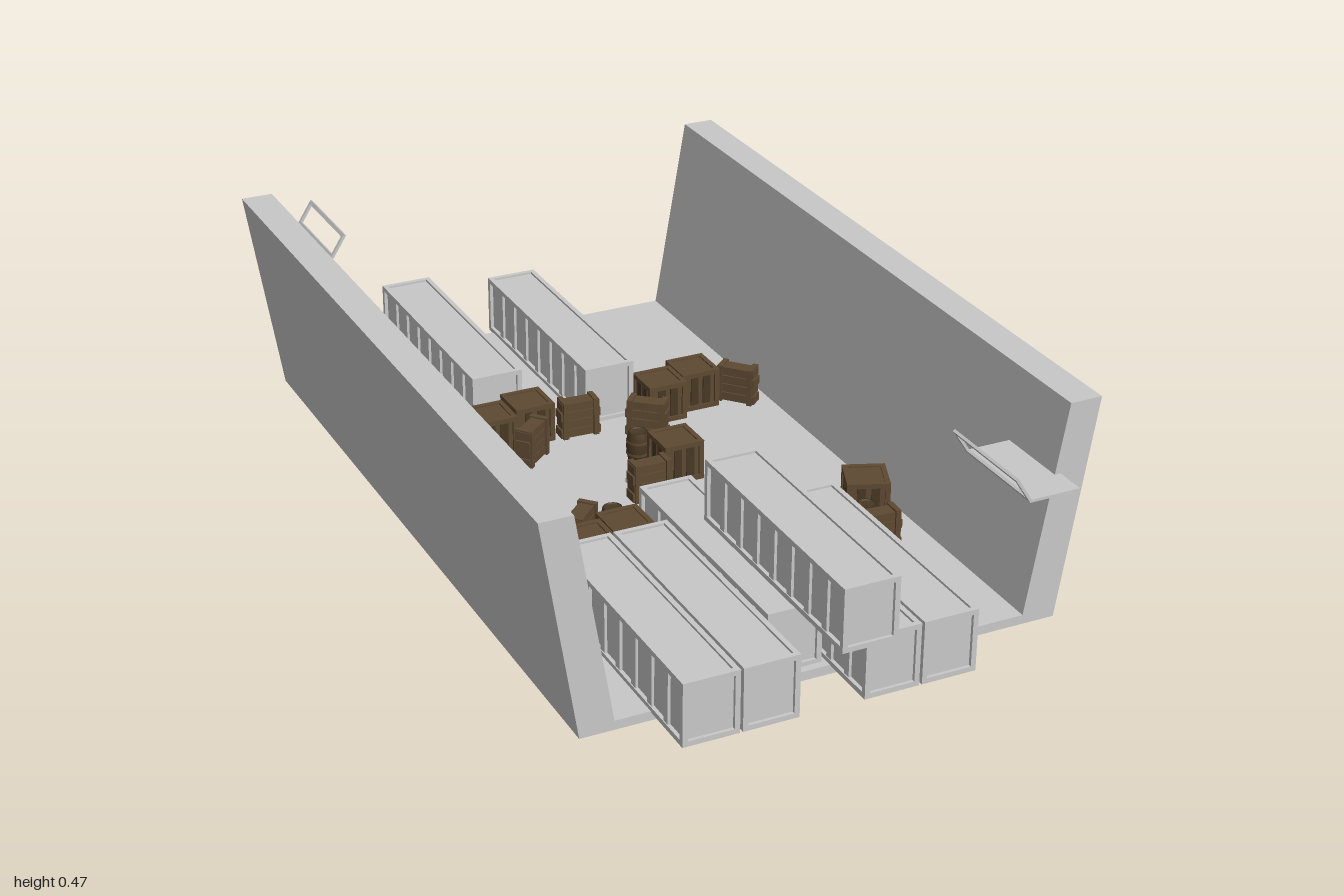
import * as THREE from 'three';

const grey = new THREE.MeshStandardMaterial({ color: 0xc8c8c8 });
grey.name = 'plain grey';
const wood = new THREE.MeshStandardMaterial({ color: 0x5e4932 });
wood.name = 'brown wood';
const darkWood = new THREE.MeshStandardMaterial({ color: 0x483823 });
darkWood.name = 'dark brown wood';

const FLOOR = 0.02;

function box(parent, name, mat, size, pos) {
  const m = new THREE.Mesh(new THREE.BoxGeometry(...size), mat);
  m.position.set(...pos);
  m.name = name;
  parent.add(m);
  return m;
}

// Twelve bars along the edges of a box that stands on y = 0
function edgeFrame(g, mat, w, h, d, t) {
  for (const a of [-1, 1]) {
    for (const b of [-1, 1]) {
      const x = a * (w - t) / 2, z = b * (d - t) / 2;
      const y = h / 2 + a * (h - t) / 2;
      box(g, 'cornerPost', mat, [t, h, t], [x, h / 2, z]);
      box(g, 'crossRail', mat, [w - 2 * t, t, t], [0, y, z]);
      box(g, 'longRail', mat, [t, t, d - 2 * t], [b * (w - t) / 2, y, 0]);
    }
  }
}

// Cargo container: recessed core, edge frame and side ribs
function container(x, y, z) {
  const g = new THREE.Group();
  g.name = 'container';
  const w = 0.118, h = 0.136, d = 0.565, t = 0.011, bays = 8;
  box(g, 'containerCore', grey, [w - 0.016, h - 0.01, d - 0.014], [0, h / 2, 0]);
  edgeFrame(g, grey, w, h, d, t);
  for (let i = 1; i < bays; i++) {
    const rz = -d / 2 + t / 2 + (i * (d - t)) / bays;
    for (const s of [-1, 1]) {
      box(g, 'sideRib', grey, [0.009, h - 2 * t, 0.018], [s * (w / 2 - 0.0065), h / 2, rz]);
    }
  }
  g.position.set(x, y, z);
  return g;
}

// Wooden crate with framed edges and plank strips
function crate(x, z, turn = 0) {
  const g = new THREE.Group();
  g.name = 'crate';
  const s = 0.092;
  box(g, 'crateCore', wood, [s - 0.01, s - 0.006, s - 0.01], [0, s / 2, 0]);
  edgeFrame(g, wood, s, s, s, 0.011);
  for (const k of [-1, 1]) {
    for (const o of [-0.015, 0.015]) {
      box(g, 'plank', darkWood, [0.018, s - 0.024, 0.004], [o, s / 2, k * (s / 2 - 0.004)]);
      box(g, 'plank', darkWood, [0.004, s - 0.024, 0.018], [k * (s / 2 - 0.004), s / 2, o]);
    }
  }
  g.position.set(x, FLOOR, z);
  g.rotation.y = turn;
  return g;
}

// Narrow barricade: plank core, end posts and rails
function barricade(x, z, turn) {
  const g = new THREE.Group();
  g.name = 'barricade';
  for (let i = 0; i < 4; i++) {
    box(g, 'barricadePlank', wood, [0.094 - (i % 2) * 0.006, 0.019, 0.034], [0, 0.012 + i * 0.021, 0]);
  }
  box(g, 'barricadeCore', darkWood, [0.084, 0.08, 0.026], [0, 0.042, 0]);
  for (const s of [-1, 1]) {
    box(g, 'barricadePost', wood, [0.012, 0.088, 0.042], [s * 0.036, 0.044, 0]);
  }
  g.position.set(x, FLOOR, z);
  g.rotation.y = turn;
  return g;
}

// Barrel with a bulging side, rims and a recessed lid
const barrelGeometry = new THREE.LatheGeometry(
  [[0, 0], [0.021, 0], [0.025, 0.02], [0.026, 0.036], [0.025, 0.052], [0.021, 0.072], [0.018, 0.072], [0.018, 0.068], [0, 0.068]]
    .map(([r, y]) => new THREE.Vector2(r, y)), 12);
const hoopGeometry = new THREE.CylinderGeometry(0.0265, 0.0265, 0.005, 12);
function barrel(x, z) {
  const g = new THREE.Group();
  g.name = 'barrel';
  const body = new THREE.Mesh(barrelGeometry, darkWood);
  body.name = 'barrelBody';
  g.add(body);
  for (const y of [0.022, 0.05]) {
    const hoop = new THREE.Mesh(hoopGeometry, wood);
    hoop.name = 'barrelHoop';
    hoop.position.y = y;
    g.add(hoop);
  }
  g.position.set(x, FLOOR, z);
  return g;
}

// Wall balcony: flat ledge with an open, outward leaning rail frame
function balcony(side, z, shift) {
  const g = new THREE.Group();
  g.name = 'balcony';
  const len = 0.23, run = 0.034, rise = 0.053;
  box(g, 'balconyFloor', grey, [0.112, 0.006, len], [0.056, 0, 0]);
  const rail = new THREE.Group();
  rail.name = 'balconyRail';
  const h = Math.hypot(run, rise);
  for (const y of [0.004, h - 0.004]) box(rail, 'railBar', grey, [0.006, 0.009, len], [0, y, 0]);
  for (const s of [-1, 1]) {
    box(rail, 'railPost', grey, [0.006, h, 0.009], [0, h / 2, s * (len / 2 - 0.0045)]);
  }
  rail.position.x = 0.11;
  rail.rotation.z = -Math.atan2(run, rise);
  g.add(rail);
  g.position.set(side * (0.52 - shift), 0.318, z);
  if (side > 0) g.rotation.y = Math.PI;
  return g;
}

export function createModel() {
  const model = new THREE.Group();
  model.name = 'cargoYard';

  // Channel with a flat floor and two leaning walls
  const half = [[0.515, 0], [0.59, 0.47], [0.52, 0.47], [0.443, FLOOR]];
  const outline = [...half, ...half.slice().reverse().map(([x, y]) => [-x, y])];
  const channelGeometry = new THREE.ExtrudeGeometry(
    new THREE.Shape(outline.map(([x, y]) => new THREE.Vector2(x, y))),
    { depth: 1.67, bevelEnabled: false });
  const channel = new THREE.Mesh(channelGeometry, grey);
  channel.name = 'floorAndWalls';
  channel.position.z = -0.84;
  model.add(channel);

  // Containers on the floor, and one stacked on top
  const rows = [
    [-0.362, -0.57], [-0.176, -0.645], [0.068, -0.58],
    [-0.31, 0.68], [-0.186, 0.68], [-0.058, 0.53], [0.07, 0.68], [0.194, 0.68],
  ];
  for (const [x, z] of rows) model.add(container(x, FLOOR - 0.002, z));
  model.add(container(-0.002, 0.156, 0.715));

  model.add(balcony(-1, -0.882, 0), balcony(1, 0.782, 0.012));

  // Crates
  const crates = [
    [-0.23, -0.275], [-0.13, -0.302], [0.182, -0.275], [0.277, -0.302], [0.087, 0],
    [-0.261, 0.312], [-0.166, 0.286], [0.166, 0.343], [0.37, 0.33, -0.38],
  ];
  for (const c of crates) model.add(crate(...c));

  // Barricades
  const barricades = [
    [-0.37, -0.255, -0.05], [-0.166, -0.195, 0.7], [-0.024, -0.265, -0.05],
    [0.113, -0.195, -0.7], [0.373, -0.264, -0.85], [-0.008, 0.07, 0],
    [-0.23, 0.207, 0.75], [-0.39, 0.345, -0.05], [0.32, 0.47, -0.05],
  ];
  for (const b of barricades) model.add(barricade(...b));

  // Barrels
  const barrels = [
    [0.04, -0.09], [-0.155, 0.2], [0.036, 0.311], [0.091, 0.311], [0.036, 0.37],
    [0.091, 0.37], [0.231, 0.37], [0.284, 0.37], [0.326, 0.411],
  ];
  for (const [x, z] of barrels) model.add(barrel(x, z));

  // Small loose block on the floor
  box(model, 'looseBlock', grey, [0.03, 0.01, 0.01], [-0.012, FLOOR + 0.005, -0.005]);

  return model;
}
